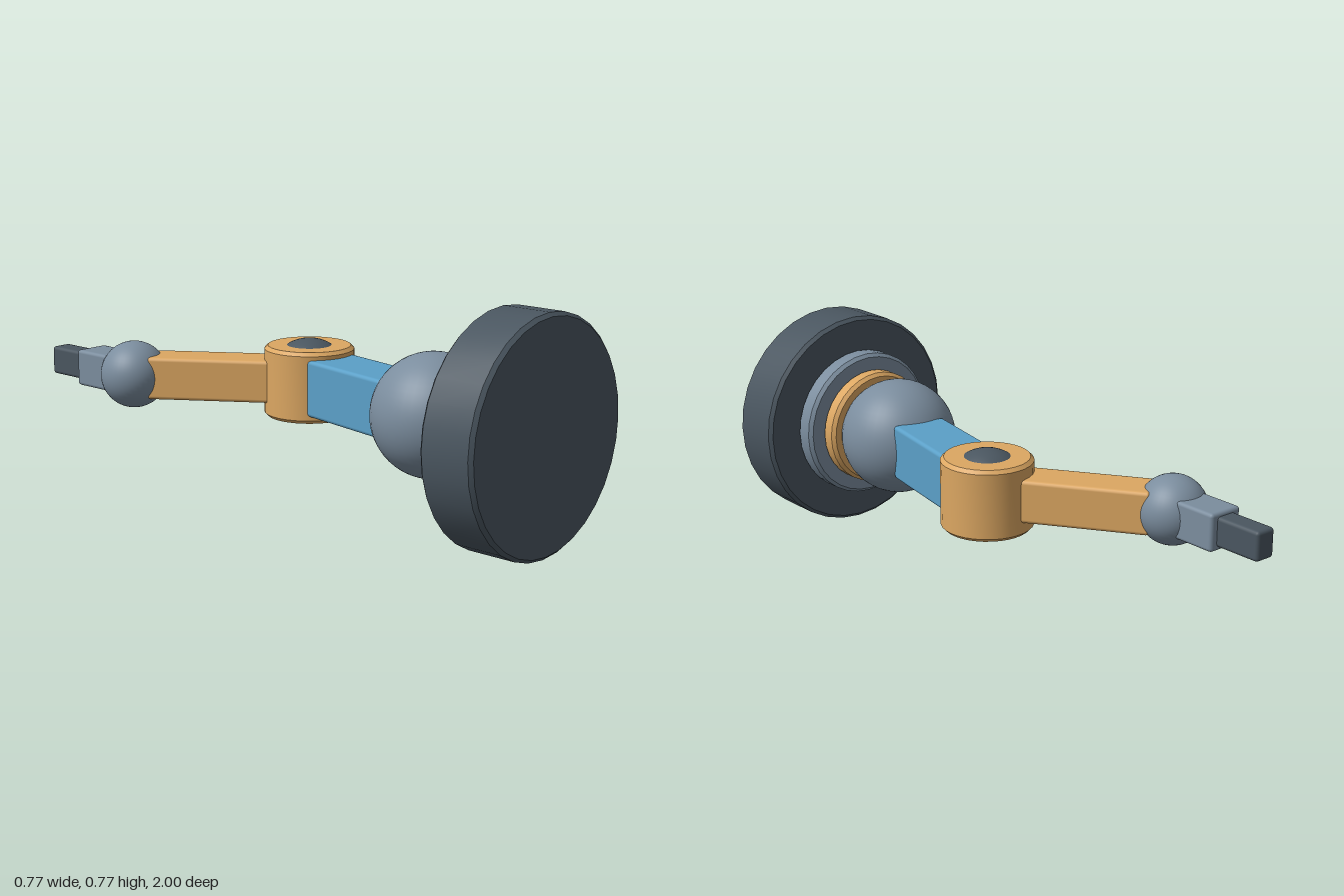
import * as THREE from 'three';
import { toCreasedNormals } from 'three/addons/utils/BufferGeometryUtils.js';
import { RoundedBoxGeometry } from 'three/addons/geometries/RoundedBoxGeometry.js';

const material = (name, color) => {
  const m = new THREE.MeshStandardMaterial({ color });
  m.name = name;
  return m;
};

export function createModel() {
  const group = new THREE.Group();
  const dark = material('dark slate', 0x4a5660);
  const steel = material('steel grey', 0x7b8d9e);
  const orange = material('orange', 0xdca762);
  const blue = material('blue', 0x5ba0c8);

  const Y = 0.385; // height of the arm's axis
  const shoulder = new THREE.Vector3(0, Y, 0.555);
  const elbow = new THREE.Vector3(0.12, Y, -0.09);
  const wrist = new THREE.Vector3(-0.23, Y, -0.6);

  const add = (name, geometry, mat, position) => {
    const mesh = new THREE.Mesh(geometry, mat);
    mesh.name = name;
    mesh.position.copy(position);
    group.add(mesh);
    return mesh;
  };

  // Bevelled disc, axis along y
  const disc = (radius, height, bevel = 0.012) => {
    const h = height / 2;
    const profile = [
      [0, -h], [radius - bevel, -h], [radius, -h + bevel],
      [radius, h - bevel], [radius - bevel, h], [0, h],
    ].map(([x, y]) => new THREE.Vector2(x, y));
    return toCreasedNormals(new THREE.LatheGeometry(profile, 32), 0.6);
  };

  const ball = (radius) => new THREE.SphereGeometry(radius, 40, 28);

  // Stacked base discs facing the front
  [
    ['base', 0.385, 0.805, 1.0, dark],
    ['baseFlange', 0.262, 0.732, 0.81, steel],
    ['baseRing', 0.204, 0.672, 0.737, orange],
  ].forEach(([name, r, z0, z1, mat]) => {
    const mesh = add(name, disc(r, z1 - z0), mat, new THREE.Vector3(0, Y, (z0 + z1) / 2));
    mesh.rotation.x = Math.PI / 2;
  });

  // Joints
  add('shoulderJoint', ball(0.204), steel, shoulder);
  add('elbowJoint', disc(0.155, 0.246), orange, elbow);
  add('elbowPin', ball(0.145), dark, elbow);
  add('wristJoint', ball(0.117), steel, wrist);

  // Box link between two joints, trimmed by a distance at each end
  const link = (name, a, b, trimA, trimB, size, mat) => {
    const dir = b.clone().sub(a).normalize();
    const start = a.clone().addScaledVector(dir, trimA);
    const end = b.clone().addScaledVector(dir, -trimB);
    const geometry = new RoundedBoxGeometry(size, size, start.distanceTo(end), 2, 0.013);
    const mesh = add(name, geometry, mat, start.clone().add(end).multiplyScalar(0.5));
    mesh.rotation.y = Math.atan2(dir.x, dir.z);
  };
  link('lowerArm', shoulder, elbow, 0.155, 0.06, 0.195, blue);
  link('upperArm', elbow, wrist, 0.06, 0.06, 0.148, orange);

  // Hand and tool tip pointing to the back
  add('hand', new RoundedBoxGeometry(0.128, 0.128, 0.18, 2, 0.012), steel,
    new THREE.Vector3(wrist.x, Y, -0.742));
  add('toolTip', new RoundedBoxGeometry(0.076, 0.1, 0.2, 2, 0.012), dark,
    new THREE.Vector3(wrist.x, Y, -0.9));

  return group;
}
